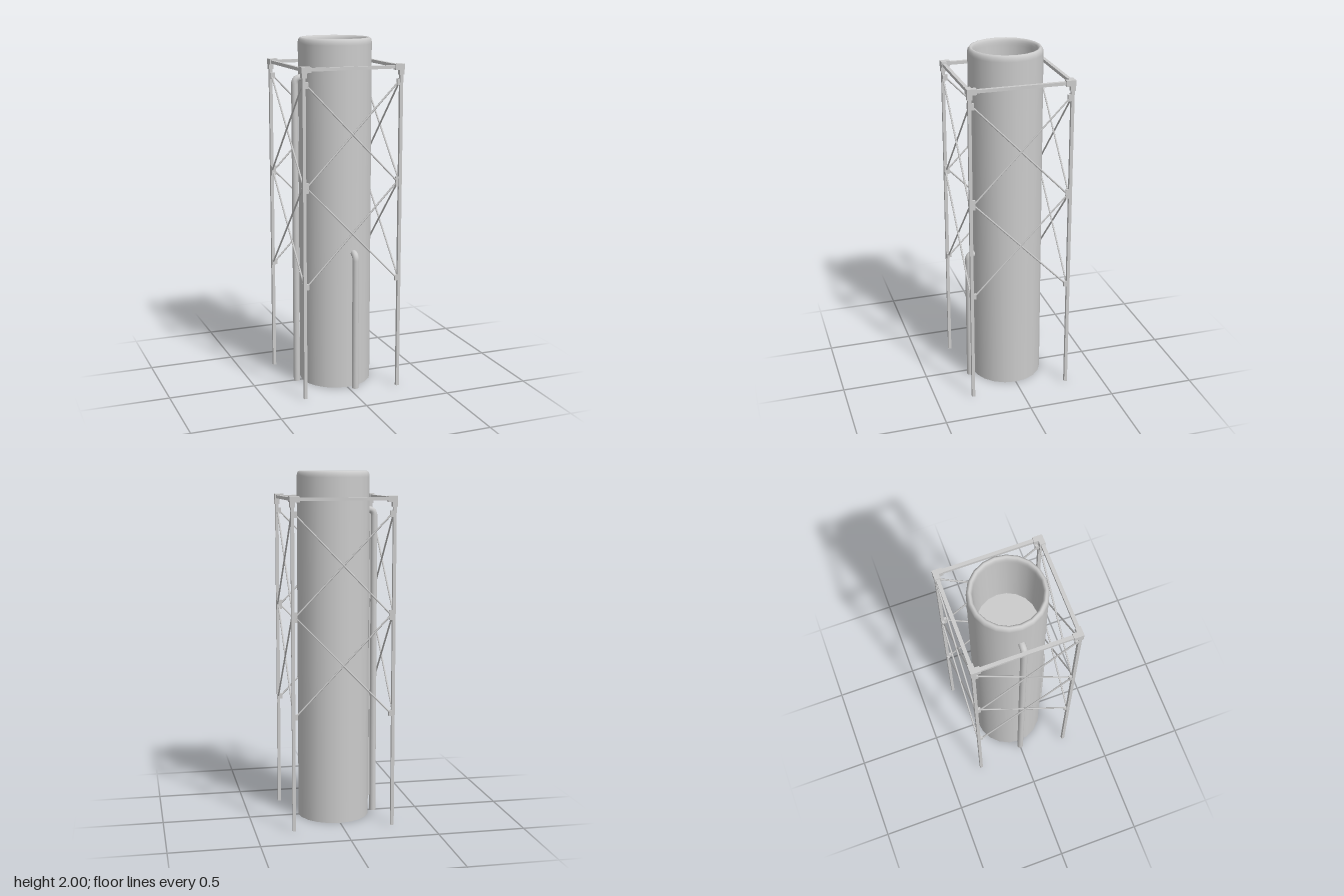
import * as THREE from 'three';

const HX = 0.283, HZ = 0.285; // half spacing of the legs

export function createModel() {
  const model = new THREE.Group();
  const grey = new THREE.MeshStandardMaterial({ color: 0xcccccc });
  const open = new THREE.MeshStandardMaterial({ color: 0xcccccc, side: THREE.DoubleSide });

  const add = (parent, name, geometry, material = grey) => {
    const mesh = new THREE.Mesh(geometry, material);
    mesh.name = name;
    parent.add(mesh);
    return mesh;
  };
  const box = (parent, name, w, h, d, x, y, z) =>
    add(parent, name, new THREE.BoxGeometry(w, h, d)).position.set(x, y, z);

  // Chimney shell with rounded rim and slightly tapered inner wall
  const profile = [
    [0.207, 0], [0.207, 0.01], [0.207, 1.965], [0.207, 1.975], [0.204, 1.989], [0.197, 1.998],
    [0.191, 2], [0.184, 1.997], [0.179, 1.988], [0.177, 1.975], [0.176, 1.96], [0.166, 1.61], [0.165, 1.6],
  ].map(([r, y]) => new THREE.Vector2(r, y));
  const chimney = new THREE.Group();
  chimney.name = 'chimney';
  chimney.position.set(0.002, 0, 0.002);
  add(chimney, 'chimneyShell', new THREE.LatheGeometry(profile, 20), open);
  const floor = add(chimney, 'chimneyFloor', new THREE.CircleGeometry(0.165, 20), open);
  floor.rotation.x = -Math.PI / 2;
  floor.position.y = 1.6;
  model.add(chimney);

  // Riser pipes that bend into the chimney wall; dir points towards the chimney
  const pipe = (name, x, z, height, dir) => {
    const bend = 0.035;
    const at = (y, inward) => new THREE.Vector3(x, y, z).addScaledVector(dir, inward);
    const path = new THREE.CurvePath();
    path.add(new THREE.LineCurve3(at(0, 0), at(height - bend, 0)));
    path.add(new THREE.QuadraticBezierCurve3(at(height - bend, 0), at(height, 0), at(height, bend)));
    path.add(new THREE.LineCurve3(at(height, bend), at(height, 0.08)));
    add(model, name, new THREE.TubeGeometry(path, 160, 0.019, 12), open);
  };
  pipe('tallPipe', -0.238, 0.002, 1.782, new THREE.Vector3(1, 0, 0));
  pipe('shortPipe', 0.038, 0.237, 0.8, new THREE.Vector3(0, 0, -1));

  const frame = new THREE.Group();
  frame.name = 'supportFrame';
  frame.position.set(-0.001, 0, -0.002);
  model.add(frame);

  // Legs with three-way corner brackets and brace clamps
  const levels = [1.768, 1.212, 0.655];
  const clampHeights = [0.035, 0.056, 0.032];
  for (const sx of [-1, 1]) {
    for (const sz of [-1, 1]) {
      const x = sx * HX, z = sz * HZ;
      box(frame, 'leg', 0.018, 1.85, 0.018, x, 0.925, z);
      box(frame, 'cornerBracket', 0.053, 0.032, 0.03, sx * 0.2705, 1.85, z);
      box(frame, 'cornerBracket', 0.03, 0.032, 0.053, x, 1.85, sz * 0.2725);
      box(frame, 'cornerSleeve', 0.028, 0.03, 0.028, x, 1.822, z);
      levels.forEach((y, i) => {
        box(frame, 'braceClamp', 0.03, clampHeights[i], 0.014, x - sx * 0.01, y, z);
        box(frame, 'braceClamp', 0.014, clampHeights[i], 0.03, x, y, z - sz * 0.01);
      });
    }
  }

  // Top ring beams
  for (const s of [-1, 1]) {
    box(frame, 'topBeam', 2 * HX, 0.018, 0.02, 0, 1.85, s * HZ);
    box(frame, 'topBeam', 0.02, 0.018, 2 * HZ, s * HX, 1.85, 0);
  }

  // Crossed rods on all four sides, two bays high
  const up = new THREE.Vector3(0, 1, 0);
  const rod = (a, b) => {
    const along = b.clone().sub(a);
    const mesh = add(frame, 'crossBrace', new THREE.CylinderGeometry(0.005, 0.005, along.length(), 6));
    mesh.position.copy(a).add(b).multiplyScalar(0.5);
    mesh.quaternion.setFromUnitVectors(up, along.normalize());
  };
  for (const side of [-1, 1]) {
    for (let bay = 0; bay < 2; bay++) {
      for (const s of [-1, 1]) {
        const top = levels[bay] - 0.004, low = levels[bay + 1] + 0.004;
        const ex = HX - 0.018, ez = HZ - 0.018, shift = s * 0.003;
        rod(new THREE.Vector3(-s * ex, top, side * HZ + shift), new THREE.Vector3(s * ex, low, side * HZ + shift));
        rod(new THREE.Vector3(side * HX + shift, top, -s * ez), new THREE.Vector3(side * HX + shift, low, s * ez));
      }
    }
  }
  return model;
}
